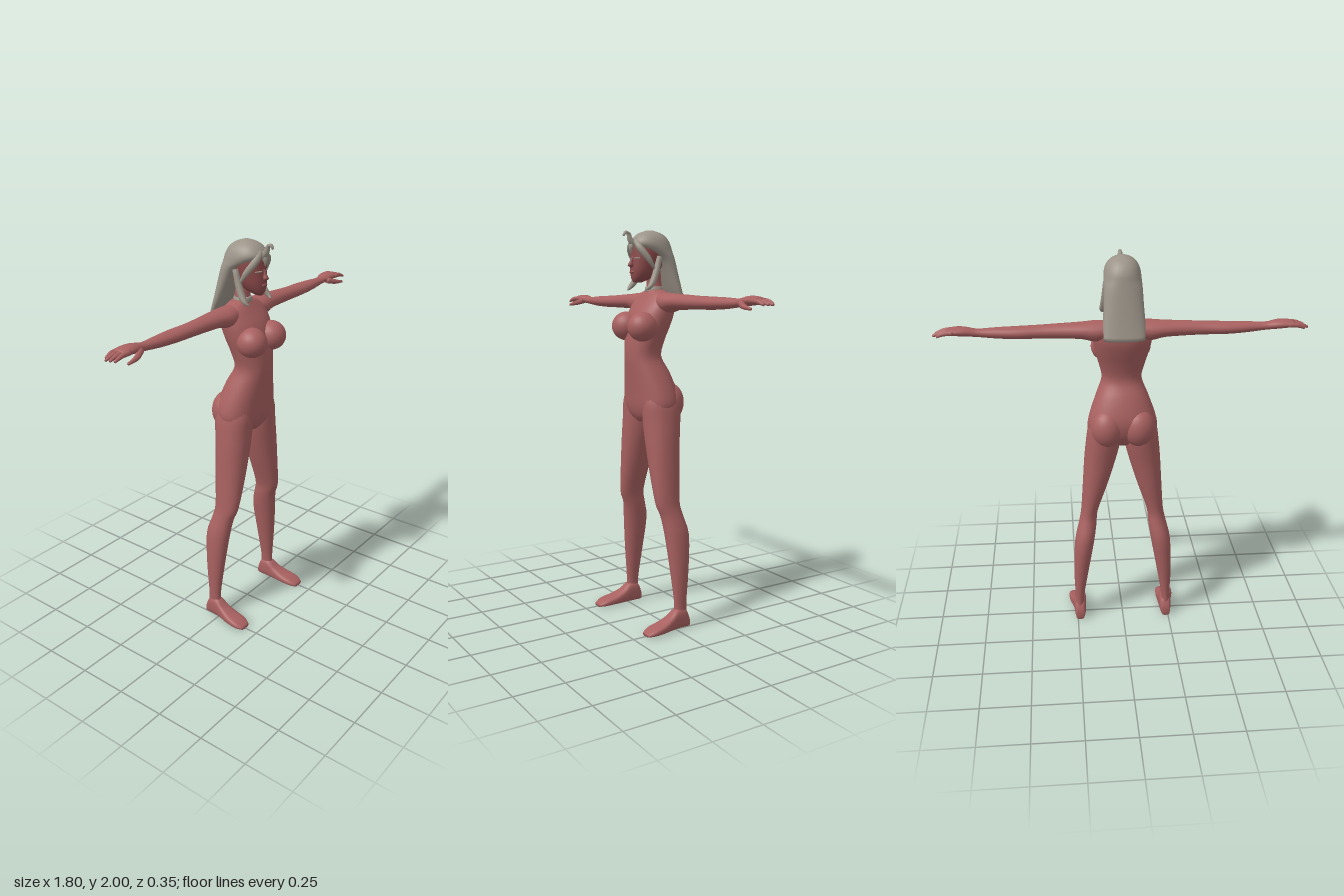
import * as THREE from 'three';

const skin = new THREE.MeshStandardMaterial({ color: 0xa86160 });
skin.name = 'skin';
const faceSkin = new THREE.MeshStandardMaterial({ color: 0x8c4a4a });
faceSkin.name = 'faceSkin';
const hairGrey = new THREE.MeshStandardMaterial({ color: 0x9c9489 });
hairGrey.name = 'hairGrey';

// Closed smooth surface through rings of points, always wound outwards
function skinRings(rings) {
  const n = rings[0].length, pos = [], idx = [];
  rings.forEach(r => r.forEach(p => pos.push(p.x, p.y, p.z)));
  for (let i = 0; i < rings.length - 1; i++) {
    for (let j = 0; j < n; j++) {
      const k = (j + 1) % n, a = i * n, b = a + n;
      idx.push(a + j, b + j, a + k, a + k, b + j, b + k);
    }
  }
  // End caps
  [0, rings.length - 1].forEach(e => {
    const c = new THREE.Vector3();
    rings[e].forEach(p => c.addScaledVector(p, 1 / n));
    const m = pos.length / 3;
    pos.push(c.x, c.y, c.z);
    for (let j = 0; j < n; j++) {
      const a = e * n + j, b = e * n + (j + 1) % n;
      if (e === 0) idx.push(m, a, b); else idx.push(m, b, a);
    }
  });
  // Signed volume tells whether the winding must be reversed
  const v = i => new THREE.Vector3(pos[3 * i], pos[3 * i + 1], pos[3 * i + 2]);
  let vol = 0;
  for (let i = 0; i < idx.length; i += 3) vol += v(idx[i]).dot(v(idx[i + 1]).cross(v(idx[i + 2])));
  if (vol < 0) idx.reverse();
  const g = new THREE.BufferGeometry();
  g.setAttribute('position', new THREE.Float32BufferAttribute(pos, 3));
  g.setIndex(idx);
  g.computeVertexNormals();
  return g;
}

// Loft along an axis; each section is [t, a0, a1, b0, b1]
function loft(sections, axis, side = 1, power = 0.9, n = 24) {
  const spread = (v) => Math.sign(v) * Math.pow(Math.abs(v), power);
  const rings = [], sub = 3, last = sections.length - 1;
  for (let s = 0; s <= last * sub; s++) {
    const i = Math.min(Math.floor(s / sub), last - 1), f = s / sub - i;
    const at = k => sections[Math.max(0, Math.min(last, k))];
    const [t, a0, a1, b0, b1] = sections[0].map((_, c) => {
      const p = at(i - 1)[c], q = at(i)[c], r = at(i + 1)[c], w = at(i + 2)[c];
      const m0 = (r - p) / 2, m1 = (w - q) / 2, f2 = f * f, f3 = f2 * f;
      return q * (2 * f3 - 3 * f2 + 1) + m0 * (f3 - 2 * f2 + f) + r * (3 * f2 - 2 * f3) + m1 * (f3 - f2);
    });
    const ring = [];
    for (let j = 0; j < n; j++) {
      const th = j / n * Math.PI * 2;
      const a = (a0 + a1) / 2 + (a1 - a0) / 2 * spread(Math.cos(th));
      const b = (b0 + b1) / 2 + (b1 - b0) / 2 * spread(Math.sin(th));
      if (axis === 'y') ring.push(new THREE.Vector3(a * side, t, b));
      else if (axis === 'x') ring.push(new THREE.Vector3(t * side, a, b));
      else ring.push(new THREE.Vector3(a * side, b, t));
    }
    rings.push(ring);
  }
  return skinRings(rings);
}

// Symmetric upright section: [y, halfWidth, back, front]
const upright = rows => rows.map(([y, w, b, f]) => [y, -w, w, b, f]);

// Tapering round strand along a path, for fingers and locks
function strand(points, radii, side = 1) {
  const curve = new THREE.CatmullRomCurve3(points.map(p => new THREE.Vector3(p[0] * side, p[1], p[2])));
  const steps = 10, fr = curve.computeFrenetFrames(steps), rings = [];
  for (let i = 0; i <= steps; i++) {
    const u = i / steps * (radii.length - 1), k = Math.min(Math.floor(u), radii.length - 2);
    const r = THREE.MathUtils.lerp(radii[k], radii[k + 1], u - k), c = curve.getPoint(i / steps);
    rings.push(Array.from({ length: 8 }, (_, j) => c.clone()
      .addScaledVector(fr.normals[i], r * Math.cos(j * Math.PI / 4))
      .addScaledVector(fr.binormals[i], r * Math.sin(j * Math.PI / 4))));
  }
  return skinRings(rings);
}

export function createModel() {
  const model = new THREE.Group();
  model.name = 'figure';
  const add = (name, geo, mat) => {
    const m = new THREE.Mesh(geo, mat);
    m.name = name;
    model.add(m);
    return m;
  };
  const ball = (name, mat, p, r) => {
    const m = add(name, new THREE.SphereGeometry(1, 24, 16), mat);
    m.position.set(...p);
    m.scale.set(...r);
    return m;
  };

  // Torso and neck
  add('torso', loft(upright([
    [1.045, 0.05, -0.06, 0.06], [1.08, 0.14, -0.09, 0.085], [1.13, 0.176, -0.112, 0.1],
    [1.2, 0.166, -0.118, 0.108], [1.3, 0.13, -0.085, 0.12], [1.38, 0.1, -0.045, 0.128],
    [1.46, 0.115, -0.06, 0.122], [1.53, 0.134, -0.085, 0.11], [1.6, 0.145, -0.105, 0.085],
    [1.66, 0.14, -0.1, 0.045], [1.69, 0.1, -0.085, 0.025], [1.71, 0.045, -0.07, 0.012]]), 'y', 1, 0.9, 36), skin);
  add('neck', loft(upright([
    [1.66, 0.06, -0.085, 0.025], [1.71, 0.042, -0.07, 0.012], [1.76, 0.036, -0.062, 0.014],
    [1.82, 0.038, -0.06, 0.03]]), 'y', 1, 1), skin);
  add('neckBand', loft(upright([
    [1.7, 0.046, -0.074, 0.02], [1.712, 0.045, -0.073, 0.02], [1.724, 0.041, -0.069, 0.017]]), 'y', 1, 1), hairGrey);

  // Head and face
  add('head', loft(upright([
    [1.745, 0.016, 0.05, 0.092], [1.765, 0.038, 0, 0.102], [1.8, 0.057, -0.04, 0.105],
    [1.84, 0.067, -0.065, 0.103], [1.88, 0.073, -0.08, 0.1], [1.92, 0.072, -0.085, 0.096],
    [1.96, 0.055, -0.06, 0.07], [1.98, 0.02, -0.03, 0.03]]), 'y', 1, 0.95), faceSkin);
  add('nose', loft(upright([
    [1.818, 0.006, 0.09, 0.112], [1.828, 0.013, 0.09, 0.126], [1.845, 0.008, 0.09, 0.117],
    [1.872, 0.005, 0.088, 0.102]]), 'y', 1, 1, 12), faceSkin);
  ball('lips', faceSkin, [0, 1.795, 0.103], [0.019, 0.008, 0.009]);

  // Hair: cap and long fall down the back
  add('hair', loft(upright([
    [1.63, 0.098, -0.172, -0.128], [1.7, 0.1, -0.155, -0.09], [1.78, 0.095, -0.138, -0.055],
    [1.86, 0.091, -0.122, -0.012], [1.9, 0.089, -0.114, 0.06], [1.93, 0.086, -0.107, 0.1],
    [1.96, 0.074, -0.09, 0.088], [1.985, 0.05, -0.06, 0.058], [2, 0.012, -0.015, 0.015]]), 'y', 1, 0.9, 32), hairGrey);
  add('forelock', strand([[0, 1.93, 0.09], [0, 1.955, 0.115], [0, 1.982, 0.122], [0, 1.985, 0.142], [0, 1.97, 0.15]],
    [0.02, 0.014, 0.011, 0.01, 0.005]), hairGrey);
  add('fringePoint', strand([[0, 1.95, 0.09], [0, 1.915, 0.107], [0, 1.885, 0.108]], [0.016, 0.013, 0.002]), hairGrey);

  for (const s of [1, -1]) {
    const side = s === 1 ? 'left' : 'right';

    // Bust and seat
    ball(side + 'Breast', skin, [s * 0.077, 1.528, 0.088], [0.073, 0.073, 0.077]);
    ball(side + 'Buttock', skin, [s * 0.08, 1.145, -0.062], [0.082, 0.1, 0.078]);

    // Arm with palm
    add(side + 'Arm', loft([
      [0.06, 1.61, 1.695, -0.09, 0.02], [0.13, 1.595, 1.695, -0.097, 0.033], [0.2, 1.61, 1.69, -0.092, 0.022],
      [0.3, 1.614, 1.685, -0.08, 0.014], [0.4, 1.616, 1.68, -0.075, 0.01], [0.5, 1.617, 1.677, -0.08, 0.008],
      [0.6, 1.622, 1.674, -0.07, 0], [0.69, 1.631, 1.67, -0.06, -0.01], [0.75, 1.637, 1.681, -0.074, 0],
      [0.8, 1.642, 1.681, -0.079, 0.004], [0.835, 1.647, 1.672, -0.078, 0]], 'x', s, 1), skin);

    // Fingers and thumb
    [[-0.067, 0.88], [-0.048, 0.9], [-0.028, 0.895], [-0.005, 0.89]].forEach(([z, tip], i) =>
      add(side + 'Finger' + (i + 1), strand([[0.8, 1.661, z], [0.85, 1.657, z], [tip, 1.644, z]], [0.013, 0.011, 0.006], s), skin));
    add(side + 'Thumb', strand([[0.73, 1.65, -0.01], [0.78, 1.636, 0.014], [0.84, 1.626, 0.022]], [0.016, 0.013, 0.006], s), skin);

    // Leg
    add(side + 'Leg', loft([
      [0.05, 0.212, 0.262, -0.075, 0], [0.13, 0.213, 0.26, -0.07, -0.003], [0.3, 0.185, 0.264, -0.087, 0.012],
      [0.48, 0.153, 0.255, -0.1, 0.03], [0.58, 0.138, 0.232, -0.077, 0.045], [0.65, 0.13, 0.218, -0.065, 0.07],
      [0.8, 0.08, 0.207, -0.08, 0.08], [0.95, 0.035, 0.197, -0.092, 0.085], [1.05, 0.012, 0.187, -0.105, 0.087],
      [1.14, 0.008, 0.174, -0.112, 0.09], [1.2, 0.02, 0.15, -0.095, 0.08]], 'y', s, 0.95), skin);

    // Foot
    add(side + 'Foot', loft([
      [-0.082, 0.215, 0.26, 0, 0.05], [-0.06, 0.207, 0.266, 0, 0.1], [-0.01, 0.204, 0.27, 0, 0.105],
      [0.03, 0.202, 0.278, 0, 0.075], [0.08, 0.2, 0.29, 0, 0.052], [0.14, 0.203, 0.294, 0, 0.035],
      [0.178, 0.22, 0.278, 0, 0.016]], 'z', s, 0.7), skin);

    // Side locks, ear and eye line
    add(side + 'FringeLock', strand([[0.008, 1.95, 0.085], [0.045, 1.915, 0.086], [0.073, 1.86, 0.052], [0.08, 1.81, 0.02]],
      [0.016, 0.018, 0.015, 0.006], s), hairGrey);
    add(side + 'SideLock', strand([[0.078, 1.87, -0.01], [0.082, 1.8, 0.012], [0.088, 1.75, 0.035], [0.094, 1.72, 0.06], [0.085, 1.708, 0.078]],
      [0.014, 0.017, 0.017, 0.012, 0.003], s), hairGrey);
    ball(side + 'Ear', faceSkin, [s * 0.078, 1.835, -0.005], [0.01, 0.032, 0.017]);
    ball(side + 'Brow', hairGrey, [s * 0.032, 1.862, 0.0925], [0.02, 0.004, 0.004]).rotation.y = s * 0.42;
  }
  return model;
}
